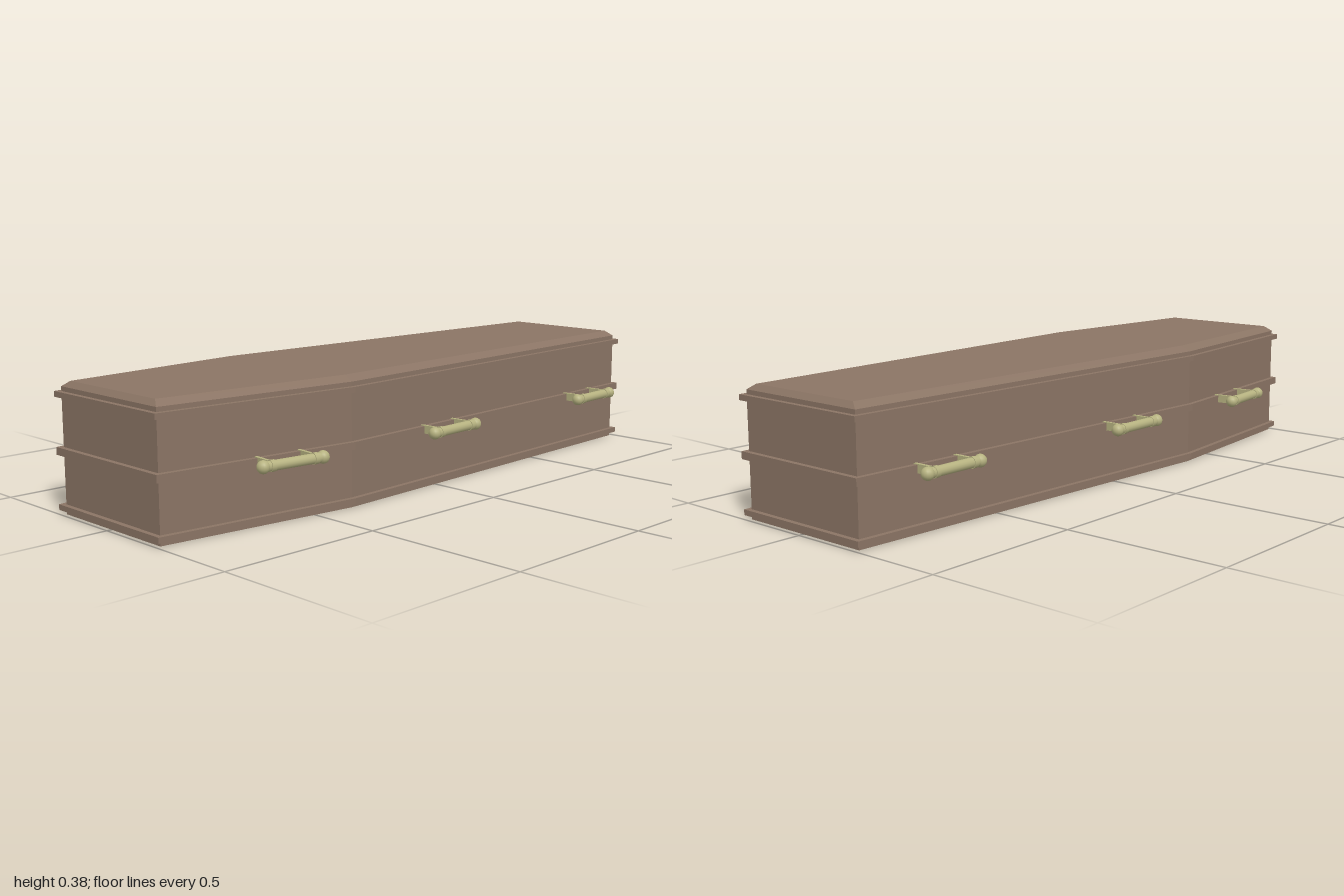
import * as THREE from 'three';

const wood = new THREE.MeshStandardMaterial({ color: 0x8a7464, flatShading: true });
const brass = new THREE.MeshStandardMaterial({ color: 0xb6b280 });

const SHOULDER_X = -0.37;

// Six-sided slab from y0 to y1; its top face may be scaled in to form a bevel
function slab(name, y0, y1, halfLength, endWidth, shoulderWidth, topX = 1, topZ = 1) {
  const shape = new THREE.Shape([
    [-halfLength, -endWidth], [SHOULDER_X, -shoulderWidth], [halfLength, -endWidth],
    [halfLength, endWidth], [SHOULDER_X, shoulderWidth], [-halfLength, endWidth],
  ].map(([x, y]) => new THREE.Vector2(x, y)));
  const geo = new THREE.ExtrudeGeometry(shape, { depth: y1 - y0, bevelEnabled: false });
  geo.rotateX(-Math.PI / 2).translate(0, y0, 0);
  const p = geo.attributes.position;
  for (let i = 0; i < p.count; i++) {
    if (p.getY(i) > (y0 + y1) / 2) {
      p.setX(i, p.getX(i) * topX);
      p.setZ(i, p.getZ(i) * topZ);
    }
  }
  geo.computeVertexNormals();
  const mesh = new THREE.Mesh(geo, wood);
  mesh.name = name;
  return mesh;
}

// Bar along x with knob ends, held by two posts reaching back to the wall (-z)
function handle() {
  const group = new THREE.Group();
  group.name = 'handle';
  const bar = new THREE.Mesh(new THREE.CylinderGeometry(0.0145, 0.0145, 0.2, 16), brass);
  bar.name = 'handleBar';
  bar.rotation.z = Math.PI / 2;
  group.add(bar);
  for (const s of [-1, 1]) {
    const knob = new THREE.Mesh(new THREE.SphereGeometry(0.0185, 16, 12), brass);
    knob.name = 'handleKnob';
    knob.position.x = s * 0.097;
    const collar = new THREE.Mesh(new THREE.CylinderGeometry(0.0165, 0.0165, 0.014, 16), brass);
    collar.name = 'handleCollar';
    collar.rotation.z = Math.PI / 2;
    collar.position.x = s * 0.07;
    const post = new THREE.Mesh(new THREE.BoxGeometry(0.01, 0.025, 0.085), brass);
    post.name = 'handlePost';
    post.position.set(s * 0.07, 0, -0.0425);
    group.add(knob, collar, post);
  }
  return group;
}

export function createModel() {
  const model = new THREE.Group();
  model.name = 'coffin';

  // Box and bevelled lid
  model.add(slab('body', 0, 0.362, 0.985, 0.22, 0.287));
  model.add(slab('lidBevel', 0.362, 0.378, 0.985, 0.22, 0.287, 0.985, 0.89));

  // Raised mouldings around the box
  for (const [name, y0, y1] of [
    ['bottomTrim', 0.013, 0.029], ['middleTrim', 0.17, 0.192], ['topTrim', 0.333, 0.349],
  ]) model.add(slab(name, y0, y1, 1, 0.234, 0.302));

  // Three handles on each side: x, z, turn about y
  for (const [x, z, turn] of [
    [-0.63, 0.334, -0.109], [0.01, 0.34, 0.055], [0.76, 0.305, 0.055],
    [-0.63, -0.335, Math.PI + 0.109], [-0.02, -0.341, Math.PI], [0.725, -0.304, Math.PI],
  ]) {
    const h = handle();
    h.position.set(x, 0.182, z);
    h.rotation.y = turn;
    model.add(h);
  }
  return model;
}
